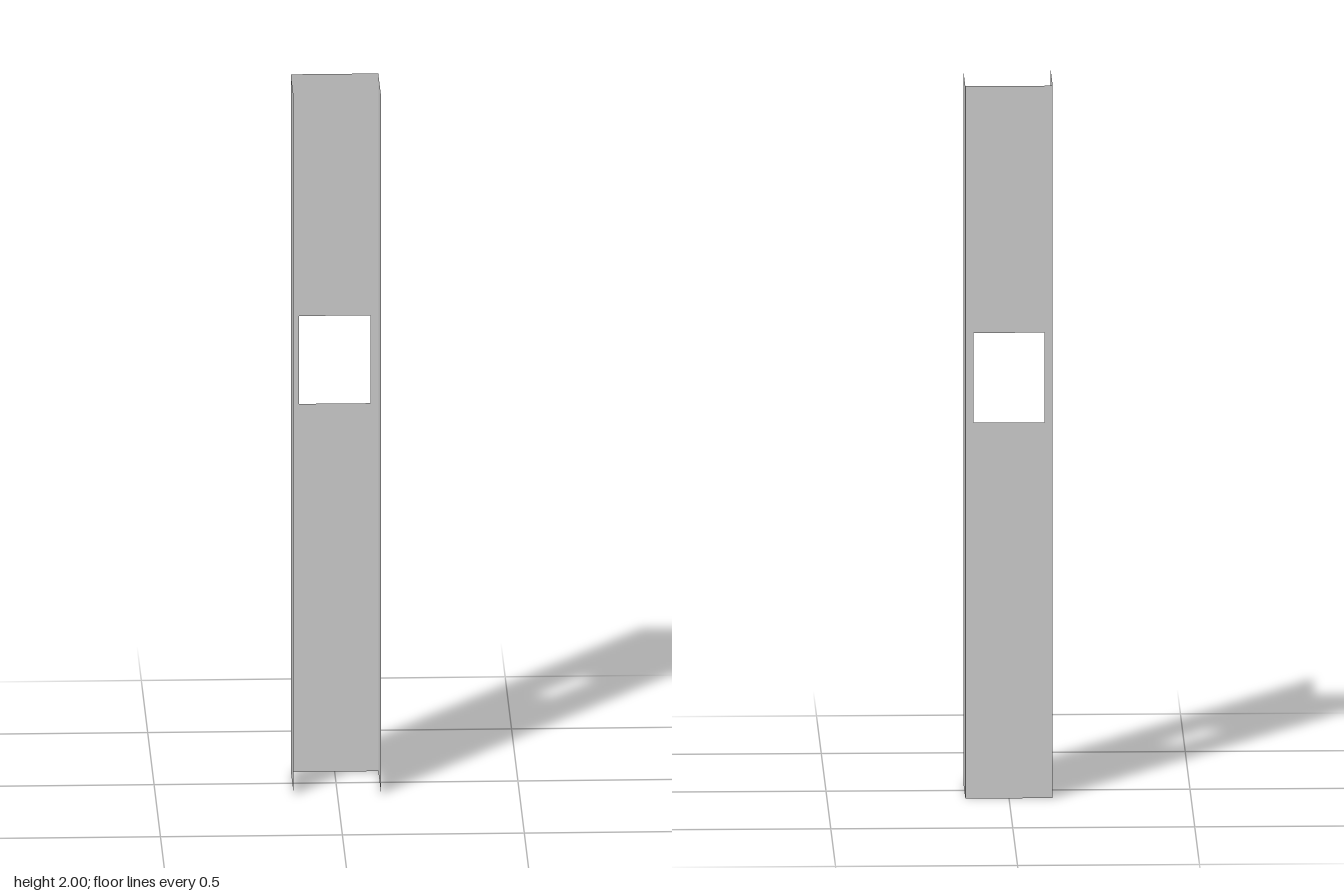
import * as THREE from 'three';

const HEIGHT = 2, HALF_W = 0.12, HALF_D = 0.108;

export function createModel() {
  const group = new THREE.Group();
  group.name = 'channelPost';
  const material = new THREE.MeshStandardMaterial({ color: 0xcccccc, side: THREE.DoubleSide });

  const rectangle = (path, x0, y0, x1, y1) =>
    path.moveTo(x0, y0).lineTo(x1, y0).lineTo(x1, y1).lineTo(x0, y1).closePath();

  // Back web of sheet metal with a rectangular cutout
  const outline = rectangle(new THREE.Shape(), -HALF_W, 0, HALF_W, HEIGHT);
  outline.holes.push(rectangle(new THREE.Path(), -0.098, 1.055, 0.098, 1.307));
  const web = new THREE.Mesh(new THREE.ShapeGeometry(outline), material);
  web.name = 'backWeb';
  web.position.z = -HALF_D;
  group.add(web);

  // Side flanges, open towards the front
  for (const side of [-1, 1]) {
    const flange = new THREE.Mesh(new THREE.PlaneGeometry(2 * HALF_D, HEIGHT), material);
    flange.name = side > 0 ? 'leftFlange' : 'rightFlange';
    flange.rotation.y = side * Math.PI / 2;
    flange.position.set(side * HALF_W, HEIGHT / 2, 0);
    group.add(flange);
  }
  return group;
}
